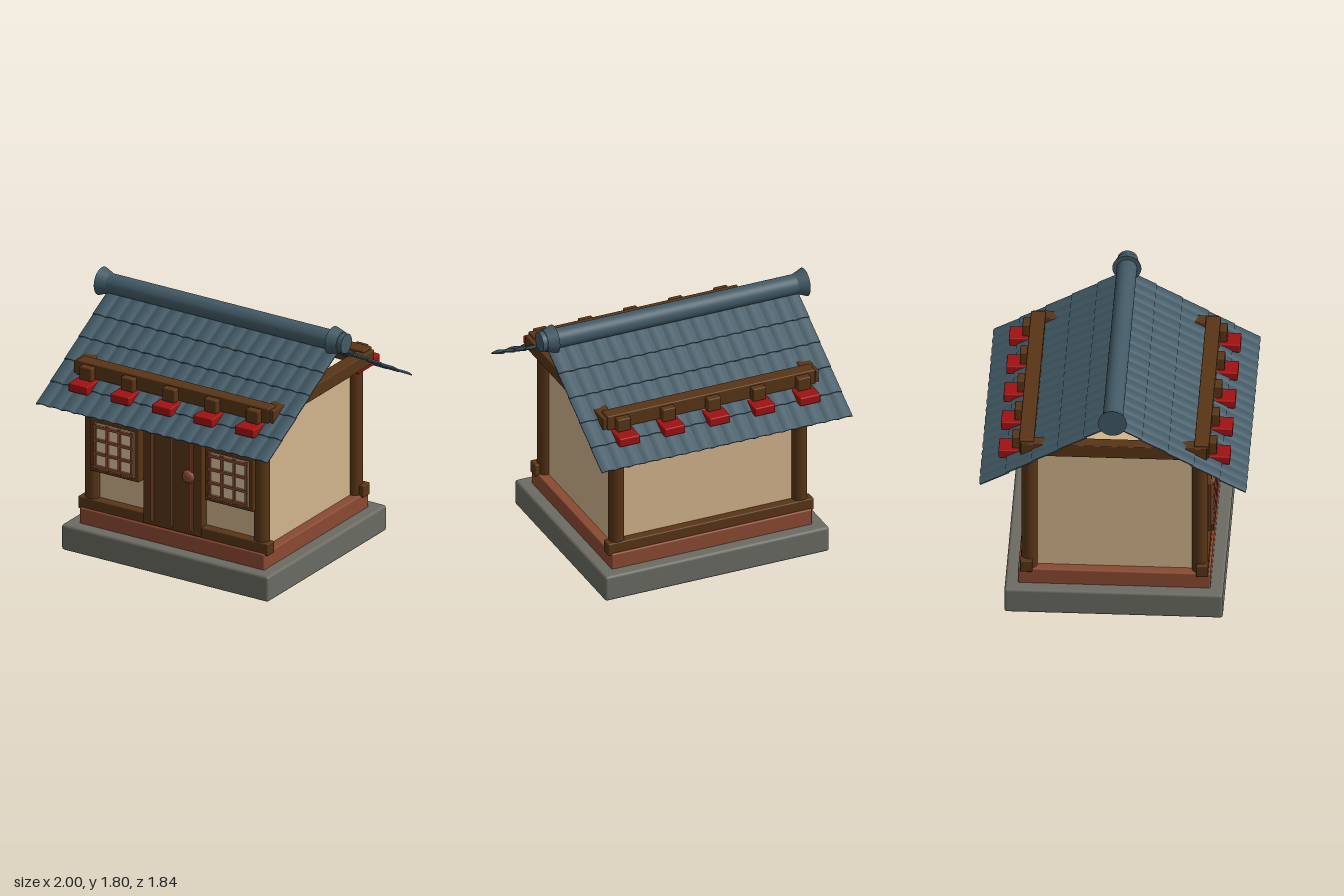
import * as THREE from 'three';
import { RoundedBoxGeometry } from 'three/addons/geometries/RoundedBoxGeometry.js';

const mat = (name, color) => {
  const m = new THREE.MeshStandardMaterial({ color });
  m.name = name;
  return m;
};

export function createModel() {
  const stone = mat('stone', 0x6b6b63);
  const redWood = mat('reddish wood', 0x8a4a32);
  const darkWood = mat('dark wood', 0x583416);
  const plaster = mat('plaster', 0xd2b48c);
  const paper = mat('paper', 0xdcc6a0);
  const red = mat('red paint', 0xa01212);
  const slate = mat('slate tile', 0x425a66);

  const model = new THREE.Group();
  model.name = 'tiledHouse';

  const add = (parent, name, geometry, material, x = 0, y = 0, z = 0) => {
    const mesh = new THREE.Mesh(geometry, material);
    mesh.name = name;
    mesh.position.set(x, y, z);
    parent.add(mesh);
    return mesh;
  };
  // Box given by its limits; r rounds the edges
  const box = (parent, name, material, [x0, x1], [y0, y1], [z0, z1], r = 0) => {
    const s = [x1 - x0, y1 - y0, z1 - z0];
    const g = r ? new RoundedBoxGeometry(...s, 2, r) : new THREE.BoxGeometry(...s);
    return add(parent, name, g, material, (x0 + x1) / 2, (y0 + y1) / 2, (z0 + z1) / 2);
  };

  // Foundation, floor and walls
  box(model, 'foundation', stone, [-0.845, 0.845], [0, 0.19], [-0.75, 0.75], 0.02);
  box(model, 'floor', redWood, [-0.755, 0.755], [0.18, 0.305], [-0.66, 0.66], 0.01);
  box(model, 'walls', plaster, [-0.685, 0.685], [0.3, 1.2], [-0.58, 0.58]);

  // Round corner posts and side beams
  for (const x of [-0.69, 0.69]) {
    for (const z of [-0.585, 0.585]) {
      add(model, 'post', new THREE.CylinderGeometry(0.055, 0.055, 0.99, 20), darkWood, x, 0.795, z);
    }
    const bx = Math.sign(x) * 0.767;
    box(model, 'sideBeam', darkWood, [bx - 0.048, bx + 0.048], [1.285, 1.38], [-0.7 + 0.06, 0.7 - 0.06], 0.006);
  }

  // Sills, eave beams and brackets, the same at front and back
  for (const turn of [0, Math.PI]) {
    const eave = new THREE.Group();
    eave.name = turn ? 'backFraming' : 'frontFraming';
    eave.rotation.y = turn;
    model.add(eave);
    box(eave, 'sill', darkWood, [-0.775, 0.775], [0.29, 0.38], [0.562, 0.645], 0.008);
    box(eave, 'eaveBeam', darkWood, [-0.785, 0.785], [1.285, 1.395], [0.55, 0.652], 0.008);
    for (let i = -2; i <= 2; i++) {
      const x = i * 0.34;
      box(eave, 'redBracket', red, [x - 0.077, x + 0.077], [1.22, 1.283], [0.53, 0.795], 0.008);
      box(eave, 'bracketBlock', darkWood, [x - 0.05, x + 0.05], [1.283, 1.38], [0.56, 0.703], 0.008);
    }
  }

  // Door with three battens and a round knob
  const door = new THREE.Group();
  door.name = 'door';
  model.add(door);
  box(door, 'doorPanel', darkWood, [-0.235, 0.235], [0.31, 1.13], [0.58, 0.655], 0.006);
  for (const x of [-0.158, 0, 0.158]) {
    box(door, 'doorBatten', redWood, [x - 0.012, x + 0.012], [0.34, 1.11], [0.65, 0.664]);
  }
  const knob = add(door, 'doorKnob', new THREE.SphereGeometry(0.047, 20, 14), redWood, 0.138, 0.745, 0.662);
  knob.scale.z = 0.6;

  // Lattice windows on both sides of the door
  for (const x of [-0.468, 0.468]) {
    const win = new THREE.Group();
    win.name = x > 0 ? 'leftWindow' : 'rightWindow';
    win.position.set(x, 0.8, 0);
    model.add(win);
    box(win, 'windowFrame', darkWood, [-0.2, 0.2], [-0.2, 0.2], [0.58, 0.66], 0.01);
    box(win, 'windowPaper', paper, [-0.165, 0.165], [-0.17, 0.17], [0.657, 0.666]);
    for (const t of [-0.15, -0.05, 0.05, 0.15]) {
      box(win, 'latticeUpright', redWood, [t - 0.009, t + 0.009], [-0.17, 0.17], [0.664, 0.68]);
      box(win, 'latticeRail', redWood, [-0.165, 0.165], [t - 0.009, t + 0.009], [0.664, 0.684]);
    }
  }

  // Roof slopes: overlapping rows of ribbed tiles
  const width = 1.89, columns = 18, rows = 5;
  const tileRow = (length) => {
    const g = new THREE.BoxGeometry(width, 0.008, length, columns * 8, 1, 1);
    const p = g.attributes.position;
    for (let i = 0; i < p.count; i++) {
      const u = (p.getX(i) / width + 0.5) * columns;
      p.setY(i, p.getY(i) + 0.012 * Math.abs(Math.sin(u * Math.PI)));
    }
    g.computeVertexNormals();
    return g;
  };
  for (const turn of [0, Math.PI]) {
    const side = new THREE.Group();
    side.name = turn ? 'backRoof' : 'frontRoof';
    side.rotation.y = turn;
    model.add(side);
    const slope = new THREE.Group();
    slope.name = 'roofSlope';
    slope.position.y = 1.645;
    slope.rotation.x = Math.PI / 6;
    side.add(slope);
    const step = 0.206;
    for (let i = 0; i < rows; i++) {
      const row = add(slope, 'tileRow', tileRow(step + 0.02), slate, 0, 0, 0.02 + (i + 0.5) * step - 0.01);
      row.rotation.x = -0.035;
    }
  }

  // Ridge tube with two flared collars
  const ridge = new THREE.Group();
  ridge.name = 'ridge';
  ridge.position.y = 1.7;
  model.add(ridge);
  const tube = (name, x0, x1, r0, r1) => {
    const m = add(ridge, name, new THREE.CylinderGeometry(r0, r1, x1 - x0, 32), slate, (x0 + x1) / 2);
    m.rotation.z = Math.PI / 2;
  };
  tube('ridgeTube', -0.99, 1, 0.07, 0.07);
  tube('ridgeCollar', -1, -0.925, 0.1, 0.07);
  tube('ridgeCollar', 0.888, 0.965, 0.1, 0.076);

  return model;
}
